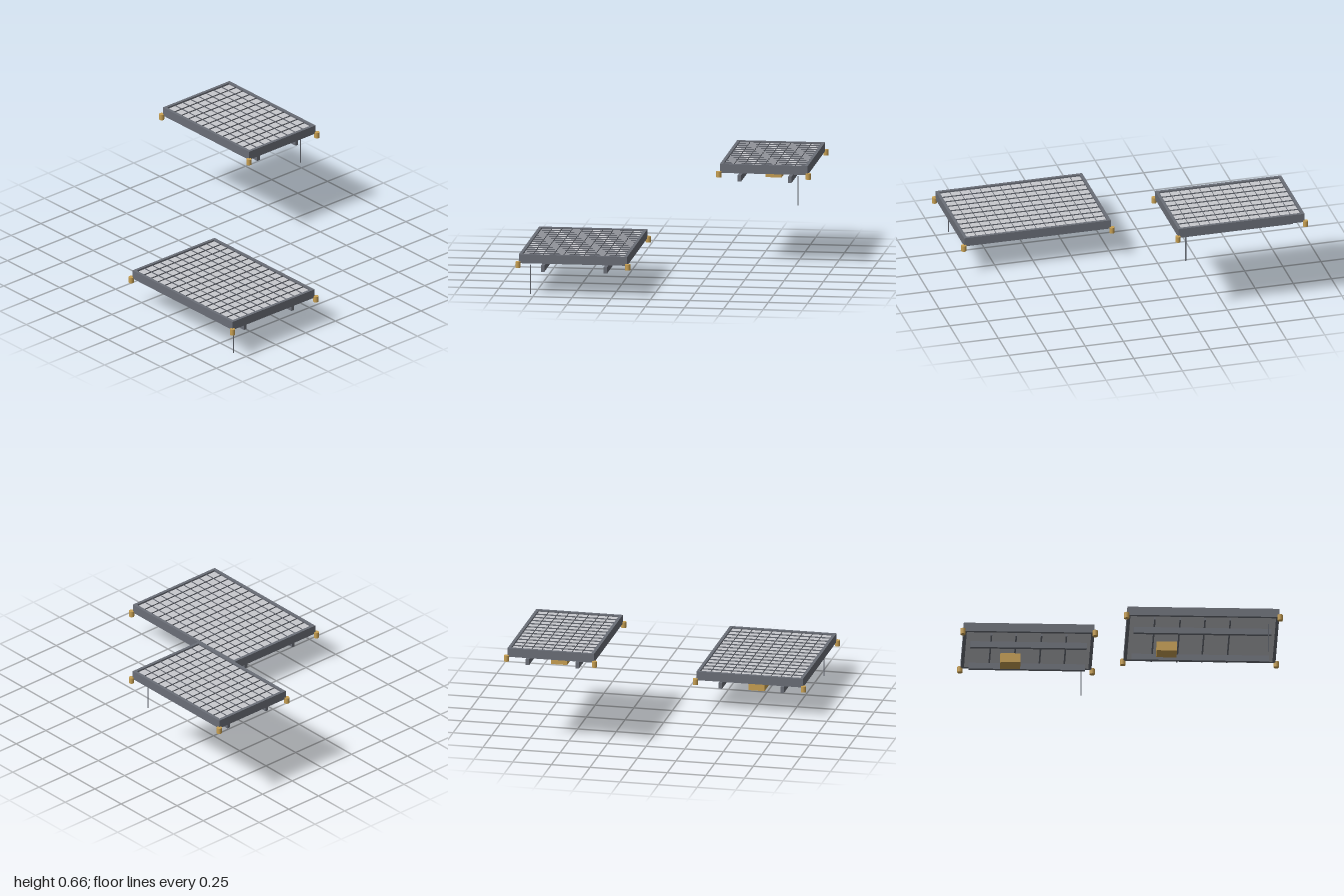
import * as THREE from 'three';

const mat = (name, color) => {
  const m = new THREE.MeshStandardMaterial({ color });
  m.name = name;
  return m;
};

export function createModel() {
  const steel = mat('dark steel', 0x6a6e77);
  const pale = mat('pale grey', 0xc8c9cd);
  const brass = mat('brass', 0xc8a052);

  // Box given by its min and max corners
  function box(parent, name, m, [x0, y0, z0], [x1, y1, z1]) {
    const mesh = new THREE.Mesh(new THREE.BoxGeometry(x1 - x0, y1 - y0, z1 - z0), m);
    mesh.position.set((x0 + x1) / 2, (y0 + y1) / 2, (z0 + z1) / 2);
    mesh.name = name;
    parent.add(mesh);
  }
  function cylinder(parent, name, m, r, y0, y1, x, z, sides) {
    const mesh = new THREE.Mesh(new THREE.CylinderGeometry(r, r, y1 - y0, sides), m);
    mesh.position.set(x, (y0 + y1) / 2, z);
    mesh.name = name;
    parent.add(mesh);
  }

  // One gridded panel; local origin at its centre, y = 0 at the foot of the rod
  function panel(name, o) {
    const g = new THREE.Group();
    g.name = name;
    const { w, d } = o, rim = 0.02, top = 0.265, base = 0.208, floor = 0.254;
    const iw = w / 2 - rim, id = d / 2 - rim;

    // Rim and pale tray
    for (const s of [-1, 1]) {
      const x = s * (w / 2 - rim / 2), z = s * (d / 2 - rim / 2);
      box(g, 'sideRim', steel, [x - rim / 2, base, -d / 2], [x + rim / 2, top, d / 2]);
      box(g, 'endRim', steel, [-iw, base, z - rim / 2], [iw, top, z + rim / 2]);
    }
    box(g, 'tray', pale, [-iw, base, -id], [iw, floor, id]);

    // Very thin upright dividers between the cells
    const t = 0.0002, fin = floor + 0.008;
    for (let i = 1; i < o.cols; i++) {
      const x = -iw + (2 * iw * i) / o.cols;
      box(g, 'columnDivider', steel, [x - t, floor, -id], [x + t, fin, id]);
    }
    for (let i = 1; i < o.rows; i++) {
      const z = -id + (2 * id * i) / o.rows;
      box(g, 'rowDivider', steel, [-iw, floor, z - t], [iw, fin, z + t]);
    }

    // Corner studs
    for (const sx of [-1, 1]) for (const sz of [-1, 1])
      cylinder(g, 'cornerStud', brass, 0.017, 0.181, 0.219, sx * (w / 2 + 0.005), sz * (d / 2 + 0.005), 12);

    // Cross bars, long rails, box and hanging rod below
    for (const x of o.bars)
      box(g, 'crossBar', steel, [x - 0.005, 0.191, -d / 2 + 0.028], [x + 0.005, base, d / 2 - 0.028]);
    for (const s of [-1, 1])
      box(g, 'rail', steel, [-w / 2 + 0.045, 0.147, s * o.railZ - 0.011], [w / 2 - 0.045, 0.187, s * o.railZ + 0.011]);
    box(g, 'controlBox', brass, [o.boxX - 0.064, 0.101, -0.052], [o.boxX + 0.064, 0.163, 0.052]);
    cylinder(g, 'hangingRod', steel, 0.0035, 0, 0.187, w / 2 - 0.067, o.rodZ, 8);
    return g;
  }

  const model = new THREE.Group();
  model.name = 'panelPair';

  const large = panel('largePanel', {
    w: 0.96, d: 0.69, cols: 14, rows: 10, railZ: 0.2, boxX: -0.22, rodZ: 0.28,
    bars: [-0.305, -0.145, 0.012, 0.172],
  });
  large.position.set(0.495, 0, 0.497);
  const small = panel('smallPanel', {
    w: 0.826, d: 0.56, cols: 12, rows: 8, railZ: 0.161, boxX: -0.11, rodZ: -0.21,
    bars: [-0.237, -0.08, 0.08, 0.237],
  });
  small.position.set(-0.566, 0.398, -0.566);
  model.add(large, small);
  return model;
}
